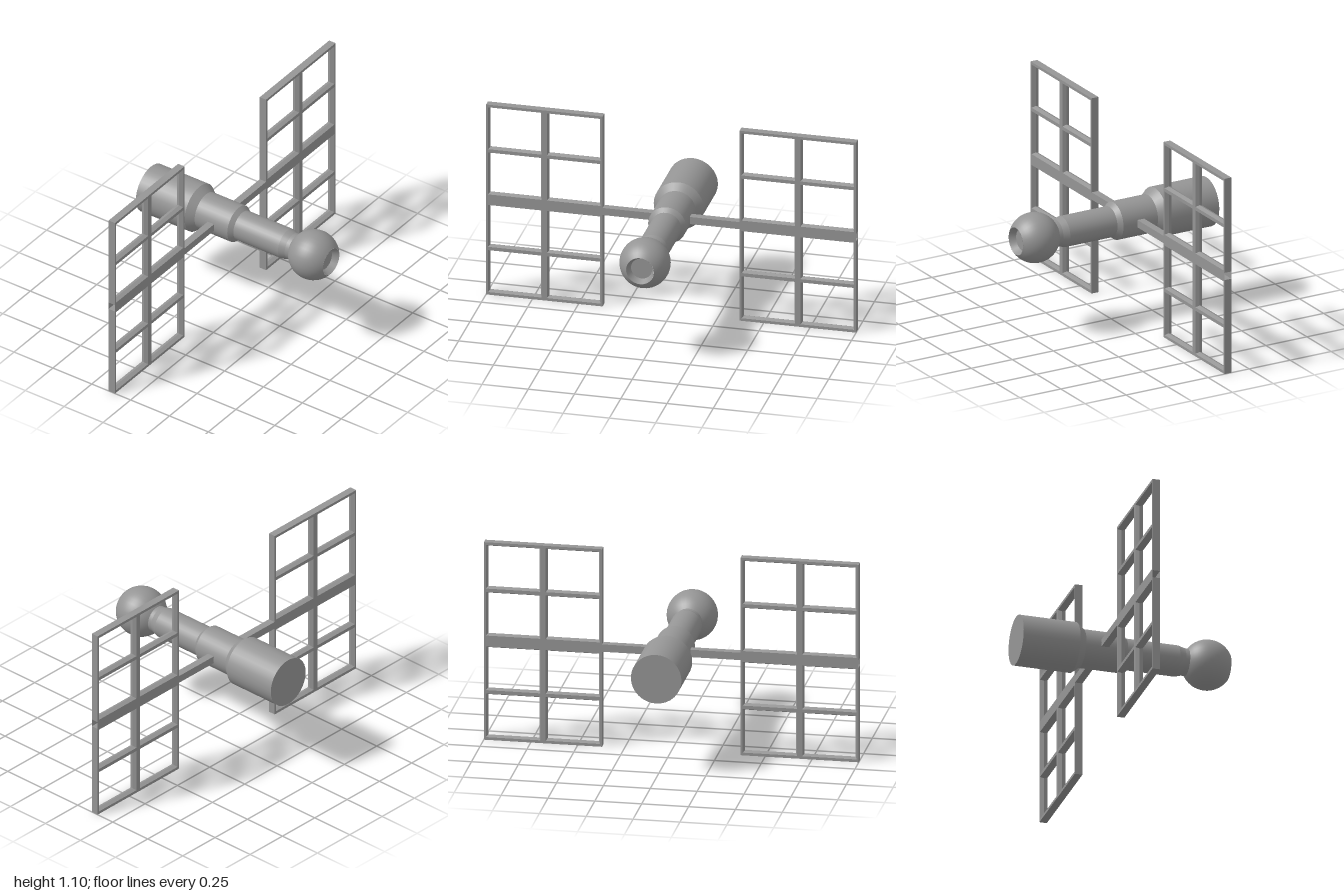
import * as THREE from 'three';

const MID_Y = 0.5485, PANEL_Z = -0.121, BEAM = 0.0205, DEPTH = BEAM * 2;
const INNER = 0.37, OUTER = 1, BEVEL = 0.009;

const smooth = new THREE.MeshStandardMaterial({ color: 0x959595, side: THREE.DoubleSide });
const flat = new THREE.MeshStandardMaterial({ color: 0x959595, side: THREE.DoubleSide, flatShading: true });

function add(parent, name, geometry, material) {
  const mesh = new THREE.Mesh(geometry, material);
  mesh.name = name;
  parent.add(mesh);
  return mesh;
}

// Surface of revolution around z, from [radius, z] pairs
function turned(points, phiStart = 0, phiLength = Math.PI * 2, segments = 32) {
  const profile = points.map(([r, z]) => new THREE.Vector2(r, z));
  return new THREE.LatheGeometry(profile, segments, phiStart, phiLength).rotateX(Math.PI / 2);
}

// Half of a panel: four windows whose walls slope in to a narrow ridge at mid depth
function panelHalf() {
  const height = MID_Y - BEAM;
  const shape = new THREE.Shape([
    new THREE.Vector2(INNER, 0), new THREE.Vector2(OUTER, 0),
    new THREE.Vector2(OUTER, height), new THREE.Vector2(INNER, height),
  ]);
  const centres = [];
  const w = 0.136 + BEVEL, h = 0.112 + BEVEL;
  for (const x of [0.526, 0.844]) {
    for (const y of [0.136, 0.397]) {
      centres.push([x, y]);
      shape.holes.push(new THREE.Path([
        new THREE.Vector2(x - w, y - h), new THREE.Vector2(x - w, y + h),
        new THREE.Vector2(x + w, y + h), new THREE.Vector2(x + w, y - h),
      ]));
    }
  }
  const geometry = new THREE.ExtrudeGeometry(shape, { depth: DEPTH, steps: 2, bevelEnabled: false });
  geometry.translate(0, 0, -DEPTH / 2);
  const p = geometry.attributes.position;
  for (let i = 0; i < p.count; i++) {
    if (Math.abs(p.getZ(i)) > 0.001) continue;
    const x = p.getX(i), y = p.getY(i);
    const cell = centres.find(([cx, cy]) => Math.abs(x - cx) < w + 0.001 && Math.abs(y - cy) < h + 0.001);
    if (cell) p.setXY(i, x - Math.sign(x - cell[0]) * BEVEL, y - Math.sign(y - cell[1]) * BEVEL);
  }
  geometry.computeVertexNormals();
  return geometry;
}

export function createModel() {
  const model = new THREE.Group();
  model.name = 'station';

  // Body, one turned section per crease
  const body = new THREE.Group();
  body.name = 'body';
  body.position.y = MID_Y;
  model.add(body);
  const zBack = PANEL_Z - BEAM, zFront = PANEL_Z + BEAM;
  const sections = {
    rearCap: [[0, -0.58], [0.135, -0.58]],
    rearModule: [[0.135, -0.58], [0.135, -0.267]],
    rearTaper: [[0.135, -0.267], [0.103, -0.225]],
    collarRear: [[0.103, -0.225], [0.103, zBack]],
    collarFront: [[0.103, zFront], [0.103, -0.015]],
    collarTaper: [[0.103, -0.015], [0.083, 0.01]],
    mainTube: [[0.083, 0.01], [0.083, 0.297]],
    neckTaper: [[0.083, 0.297], [0.073, 0.333]],
    neck: [[0.073, 0.333], [0.073, 0.356]],
    portWall: [[0.074, 0.58], [0.057, 0.545]],
    portFloor: [[0.057, 0.545], [0, 0.545]],
  };
  for (const [name, points] of Object.entries(sections)) add(body, name, turned(points), smooth);

  // Collar band, left open by two of 32 sides where the hollow beams join
  const gap = Math.PI / 16;
  for (const start of [-Math.PI / 2, Math.PI / 2]) {
    add(body, 'collarBand',
      turned([[0.103, zBack], [0.103, zFront]], start + gap, Math.PI - 2 * gap, 14), smooth);
  }

  // Ball at the front, cut off by the docking port
  const ball = [], R = 0.135, steps = 18;
  const from = Math.asin(-0.114 / R), to = Math.asin(0.112 / R);
  for (let i = 0; i <= steps; i++) {
    const a = from + (to - from) * i / steps;
    ball.push([R * Math.cos(a), 0.468 + R * Math.sin(a)]);
  }
  add(body, 'ball', turned(ball), smooth);

  // Wings: an open square beam with a window frame above and below it
  const half = panelHalf();
  const start = 0.1, length = OUTER - start;
  const beam = new THREE.CylinderGeometry(BEAM * Math.SQRT2, BEAM * Math.SQRT2, length, 4, 1, true)
    .rotateY(Math.PI / 4).rotateZ(Math.PI / 2);
  for (const side of [1, -1]) {
    const wing = new THREE.Group();
    wing.name = side > 0 ? 'leftWing' : 'rightWing';
    wing.position.set(0, MID_Y, PANEL_Z);
    // A half turn about y swaps the sides without flipping faces
    if (side < 0) wing.rotation.y = Math.PI;
    add(wing, 'beam', beam, flat).position.x = start + length / 2;
    add(wing, 'lowerPanel', half, flat).position.y = -MID_Y;
    const upper = add(wing, 'upperPanel', half, flat);
    upper.rotation.x = Math.PI;
    upper.position.y = MID_Y;
    model.add(wing);
  }
  return model;
}
